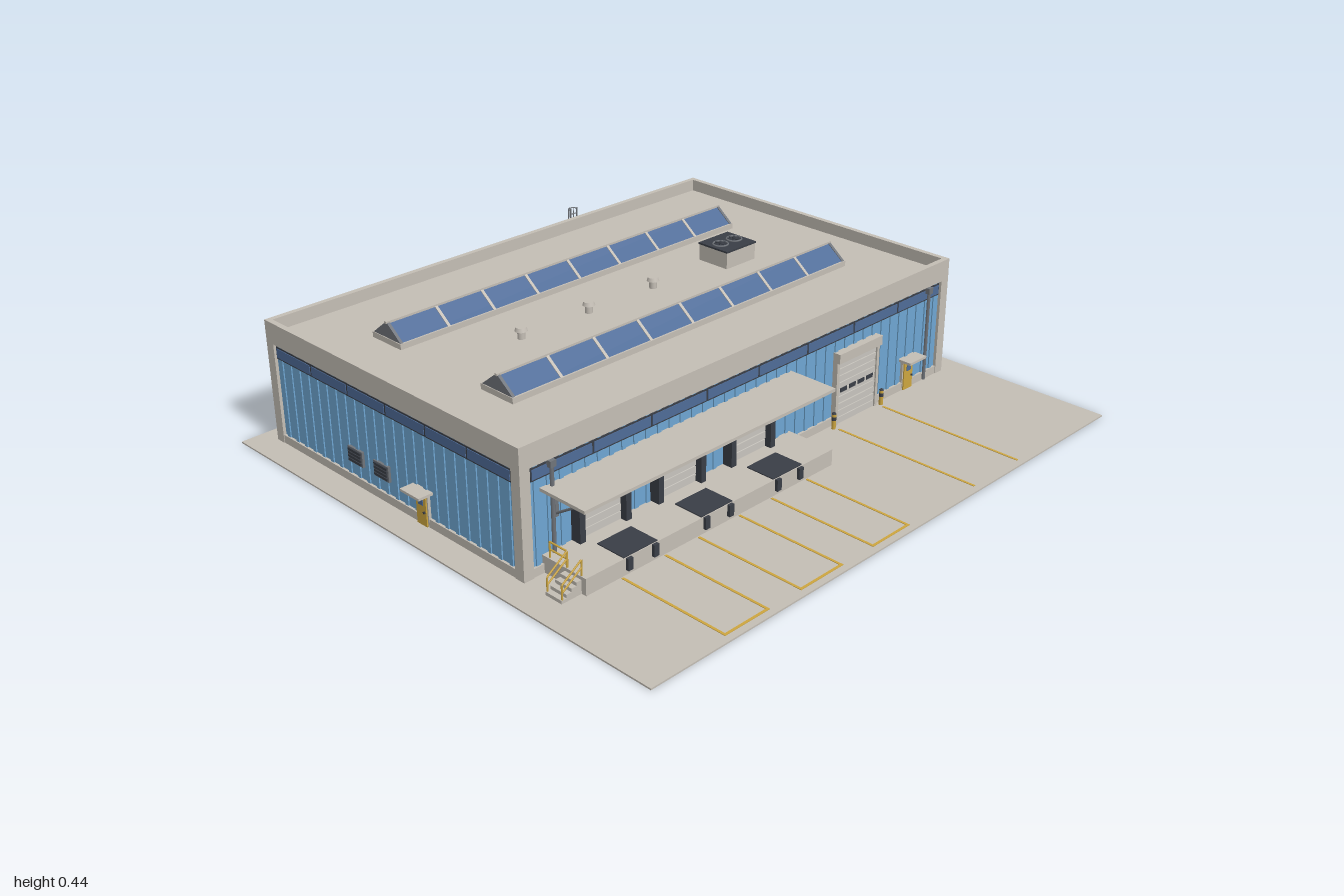
import * as THREE from 'three';

const mat = (name, hex, double) => {
  const m = new THREE.MeshStandardMaterial({ color: hex });
  m.name = name;
  if (double) m.side = THREE.DoubleSide;
  return m;
};

export function createModel() {
  const concrete = mat('concrete', 0xc4beb5);
  const cladding = mat('blue cladding', 0x6fa6d2);
  const glass = mat('glass', 0x4f6c98);
  const dark = mat('charcoal', 0x3a3e46);
  const steel = mat('steel', 0x70747a);
  const yellow = mat('safety yellow', 0xcda640);
  const panel = mat('door panel', 0xc8c5be);

  const root = new THREE.Group();
  root.name = 'warehouse';

  const group = (name, parent = root) => {
    const g = new THREE.Group();
    g.name = name;
    parent.add(g);
    return g;
  };
  const add = (parent, name, geo, m, x, y, z) => {
    const mesh = new THREE.Mesh(geo, m);
    mesh.name = name;
    mesh.position.set(x, y, z);
    parent.add(mesh);
    return mesh;
  };
  // Box by ranges: x, y and z each as [min, max]
  const box = (parent, name, m, [x0, x1], [y0, y1], [z0, z1]) =>
    add(parent, name, new THREE.BoxGeometry(x1 - x0, y1 - y0, z1 - z0), m,
      (x0 + x1) / 2, (y0 + y1) / 2, (z0 + z1) / 2);
  const rod = (parent, name, m, a, b, r) => {
    const path = new THREE.LineCurve3(new THREE.Vector3(...a), new THREE.Vector3(...b));
    return add(parent, name, new THREE.TubeGeometry(path, 1, r, 6), m, 0, 0, 0);
  };
  const mid = (c, w) => [c - w / 2, c + w / 2];

  const X = 0.913, Z0 = -0.825, Z1 = 0.33, ZC = (Z0 + Z1) / 2, TOP = 0.405, ROOF = 0.365;
  const G = 0.005, INSET = 0.01;

  // Yard slab and shell
  box(root, 'yardSlab', concrete, [-1, 1], [0, G], [-0.89, 0.89]);
  box(root, 'wallCore', cladding, [-X + INSET, X - INSET], [G, 0.34], [Z0 + INSET, Z1 - INSET]);
  box(root, 'roofDeck', concrete, [-X + INSET, X - INSET], [0.34, ROOF], [Z0 + INSET, Z1 - INSET]);
  for (const s of [-1, 1]) {
    box(root, 'parapetSide', concrete, mid(s * (X - 0.009), 0.018), [0.335, TOP], [Z0, Z1]);
    const z = s > 0 ? [Z1 - 0.018, Z1] : [Z0, Z0 + 0.018];
    box(root, 'parapetEnd', concrete, [-X + 0.018, X - 0.018], [0.335, TOP], z);
    for (const zz of [Z0 + 0.0175, Z1 - 0.0175])
      box(root, 'cornerColumn', concrete, mid(s * (X - 0.0175), 0.035), [G, 0.335], mid(zz, 0.035));
  }

  // Each wall is laid out flat: x along the wall, z outward from the cladding
  const wall = (name, length, panes, x, z, turn) => {
    const w = group(name);
    w.position.set(x, 0, z);
    w.rotation.y = turn;
    const L = length - 0.07;
    box(w, 'plinth', concrete, mid(0, L), [G, 0.032], [0, 0.008]);
    const ribs = Math.round(L / 0.045);
    for (let i = 0; i < ribs; i++)
      box(w, 'claddingRib', cladding, mid(-L / 2 + (i + 0.5) * L / ribs, 0.014), [0.032, 0.335], [0, 0.004]);
    box(w, 'windowFrame', dark, mid(0, L - 0.01), [0.289, 0.329], [0, 0.005]);
    const pw = (L - 0.01) / panes;
    for (let i = 0; i < panes; i++)
      box(w, 'windowPane', glass, mid((i + 0.5 - panes / 2) * pw, pw - 0.008), [0.294, 0.324], [0.005, 0.007]);
    return w;
  };
  const front = wall('frontWall', 2 * X, 8, 0, Z1 - INSET, 0);
  const back = wall('backWall', 2 * X, 8, 0, Z0 + INSET, Math.PI);
  const rightEnd = wall('leftWall', Z1 - Z0, 6, X - INSET, ZC, Math.PI / 2);
  const leftEnd = wall('rightWall', Z1 - Z0, 6, -X + INSET, ZC, -Math.PI / 2);

  // Panelled lifting door with a row of small windows
  const liftingDoor = (parent, x, y, w, h, slats) => {
    const d = group('liftingDoor', parent);
    const sh = h / slats;
    box(d, 'doorBacking', steel, mid(x, w), [y, y + h], [0, 0.009]);
    for (let i = 0; i < slats; i++)
      box(d, 'doorSlat', panel, mid(x, w), [y + i * sh, y + (i + 1) * sh - 0.003], [0.009, 0.013]);
    for (let i = 0; i < 4; i++)
      box(d, 'doorWindow', dark, mid(x + (i - 1.5) * w * 0.23, w * 0.17),
        [y + h * 0.5, y + h * 0.5 + 0.014], [0.013, 0.015]);
  };
  const driveInDoor = (parent, x) => {
    liftingDoor(parent, x, G, 0.185, 0.215, 9);
    for (const s of [-1, 1]) {
      box(parent, 'doorJamb', concrete, mid(x + s * 0.098, 0.012), [G, 0.225], [0, 0.018]);
      const b = x + s * 0.118;
      add(parent, 'bollard', new THREE.CylinderGeometry(0.007, 0.007, 0.05, 12), yellow, b, G + 0.025, 0.024);
      add(parent, 'bollardBand', new THREE.CylinderGeometry(0.0075, 0.0075, 0.012, 12), dark, b, 0.04, 0.024);
      add(parent, 'bollardCap', new THREE.CylinderGeometry(0.006, 0.0075, 0.004, 12), dark, b, 0.057, 0.024);
    }
    box(parent, 'shutterHousing', concrete, mid(x, 0.208), [0.22, 0.252], [0, 0.027]);
  };
  const staffDoor = (parent, x) => {
    box(parent, 'staffDoorFrame', concrete, mid(x, 0.054), [G, 0.106], [0, 0.009]);
    box(parent, 'staffDoor', yellow, mid(x, 0.044), [G, 0.1], [0.009, 0.013]);
    box(parent, 'staffDoorWindow', glass, mid(x, 0.02), [0.07, 0.09], [0.013, 0.015]);
    box(parent, 'staffDoorHandle', dark, mid(x + 0.015, 0.005), [0.047, 0.053], [0.013, 0.018]);
    box(parent, 'doorCanopy', concrete, mid(x, 0.084), [0.111, 0.119], [0, 0.05]);
  };
  driveInDoor(front, 0.453);
  driveInDoor(rightEnd, 0);
  staffDoor(front, 0.724);
  staffDoor(back, 0.55);
  staffDoor(leftEnd, 0.147);

  // Louvres on the end wall
  for (const x of [-0.165, -0.04]) {
    box(leftEnd, 'louvreFrame', steel, mid(x, 0.07), [0.075, 0.125], [0, 0.008]);
    for (let i = 0; i < 4; i++)
      box(leftEnd, 'louvreBlade', dark, mid(x, 0.06), [0.08 + i * 0.011, 0.088 + i * 0.011], [0.008, 0.012]);
  }

  // Downpipes
  for (const w of [front, back]) for (const x of [-0.808, 0.808]) {
    rod(w, 'downpipe', steel, [x, 0.01, 0.014], [x, 0.335, 0.014], 0.006);
    box(w, 'rainHopper', steel, mid(x, 0.02), [0.315, 0.335], [0.004, 0.022]);
  }

  // Loading dock
  const dock = group('loadingDock');
  box(dock, 'dockPlatform', concrete, [-0.84, 0.15], [G, 0.057], [Z1 - 0.01, 0.49]);
  const bays = [-0.64, -0.345, -0.048];
  for (const x of bays) {
    liftingDoor(front, x, 0.057, 0.155, 0.155, 6);
    for (const s of [-1, 1]) {
      box(front, 'shelterSide', dark, mid(x + s * 0.085, 0.02), [0.057, 0.24], [0, 0.035]);
      box(dock, 'dockBumper', dark, mid(x + s * 0.048, 0.018), [0.02, 0.057], [0.49, 0.5]);
    }
    box(front, 'shelterHead', dark, mid(x, 0.15), [0.212, 0.24], [0, 0.035]);
    box(dock, 'dockLeveller', dark, mid(x, 0.125), [0.057, 0.06], [0.385, 0.487]);
  }
  box(dock, 'dockCanopy', concrete, [-0.84, 0.15], [0.249, 0.259], [Z1 - 0.01, 0.492]);
  for (const x of [-0.79, -0.49, -0.195, 0.105]) {
    rod(dock, 'canopyStrut', steel, [x, 0.165, 0.325], [x, 0.249, 0.46], 0.004);
    rod(dock, 'canopyBeam', steel, [x, 0.245, 0.325], [x, 0.245, 0.485], 0.004);
    box(dock, 'strutPlate', steel, mid(x, 0.014), [0.155, 0.25], [0.32, 0.328]);
  }

  // Dock stairs with handrails
  for (let i = 0; i < 4; i++)
    box(dock, 'stairStep', concrete, [-0.91 + i * 0.0175, -0.84], [G + i * 0.0105, G + (i + 1) * 0.0105], [0.41, 0.473]);
  const rail = (a, b) => {
    for (const h of [0.025, 0.048])
      rod(dock, 'handrail', yellow, [a[0], a[1] + h, a[2]], [b[0], b[1] + h, b[2]], 0.0028);
    for (const p of [a, b])
      rod(dock, 'handrailPost', yellow, p, [p[0], p[1] + 0.049, p[2]], 0.0028);
  };
  for (const z of [0.413, 0.47]) rail([-0.905, 0.01, z], [-0.836, 0.057, z]);
  rail([-0.834, 0.057, 0.345], [-0.834, 0.057, 0.413]);

  // Yard markings
  const line = (x, z) => box(root, 'yardLine', yellow, x, [G, 0.0065], z);
  for (const [a, b] of [[-0.715, -0.555], [-0.425, -0.26], [-0.125, 0.03]]) {
    for (const x of [a, b]) line(mid(x, 0.008), [0.495, 0.868]);
    line([a, b], [0.86, 0.868]);
  }
  for (const x of [0.342, 0.562]) line(mid(x, 0.008), [0.36, 0.868]);

  // Ridge skylights
  const ridge = (half, low, peak, length) => {
    const s = new THREE.Shape([new THREE.Vector2(-half, low), new THREE.Vector2(half, low), new THREE.Vector2(0, peak)]);
    return new THREE.ExtrudeGeometry(s, { depth: length, bevelEnabled: false })
      .translate(0, 0, -length / 2).rotateY(Math.PI / 2);
  };
  for (const z of [0, -0.5]) {
    const s = group('skylight');
    box(s, 'skylightCurb', concrete, [-0.71, 0.705], [ROOF, 0.383], mid(z, 0.136));
    add(s, 'skylightGlass', ridge(0.062, 0.383, 0.431, 1.4), glass, -0.0025, 0, z);
    for (let i = 0; i <= 8; i++)
      add(s, 'glazingBar', ridge(0.065, 0.383, 0.434, 0.01), i % 8 ? concrete : steel, -0.7025 + i * 0.175, 0, z);
    box(s, 'ridgeBar', concrete, [-0.71, 0.705], [0.428, 0.435], mid(z, 0.01));
  }

  // Roof vents
  for (const x of [-0.41, -0.14, 0.135]) {
    add(root, 'ventPipe', new THREE.CylinderGeometry(0.012, 0.012, 0.03, 16), concrete, x, ROOF + 0.015, -0.247);
    add(root, 'ventCap', new THREE.CylinderGeometry(0.016, 0.02, 0.012, 16), concrete, x, 0.396, -0.247);
  }

  // Rooftop cooling unit
  const unit = group('coolingUnit');
  box(unit, 'unitBody', concrete, [0.412, 0.547], [ROOF, 0.42], [-0.31, -0.187]);
  box(unit, 'unitTop', dark, [0.41, 0.549], [0.42, 0.426], [-0.312, -0.185]);
  for (const x of [0.447, 0.512]) {
    const ring = add(unit, 'fanRing', new THREE.TorusGeometry(0.025, 0.003, 6, 20), steel, x, 0.428, -0.248);
    ring.rotation.x = Math.PI / 2;
    add(unit, 'fanHub', new THREE.CylinderGeometry(0.007, 0.007, 0.008, 12), dark, x, 0.43, -0.248);
    for (let i = 0; i < 4; i++) {
      const blade = add(unit, 'fanBlade', new THREE.BoxGeometry(0.046, 0.002, 0.006), dark, x, 0.429, -0.248);
      blade.rotation.y = i * Math.PI / 4;
    }
  }

  // Caged access ladder
  const ladder = group('accessLadder', back);
  ladder.position.set(-0.328, 0, 0.016);
  for (const s of [-1, 1]) rod(ladder, 'ladderRail', steel, [s * 0.014, 0.02, 0], [s * 0.014, 0.435, 0], 0.0028);
  for (let y = 0.035; y < 0.42; y += 0.02) rod(ladder, 'ladderRung', steel, [-0.014, y, 0], [0.014, y, 0], 0.0018);
  for (let y = 0.13; y < 0.44; y += 0.05) {
    const hoop = add(ladder, 'cageHoop', new THREE.TorusGeometry(0.016, 0.002, 5, 14, Math.PI), steel, 0, y, 0.003);
    hoop.rotation.x = Math.PI / 2;
  }
  for (const a of [0.25, 0.5, 0.75]) {
    const x = 0.016 * Math.cos(a * Math.PI), z = 0.003 + 0.016 * Math.sin(a * Math.PI);
    rod(ladder, 'cageBar', steel, [x, 0.13, z], [x, 0.43, z], 0.0015);
  }
  return root;
}
